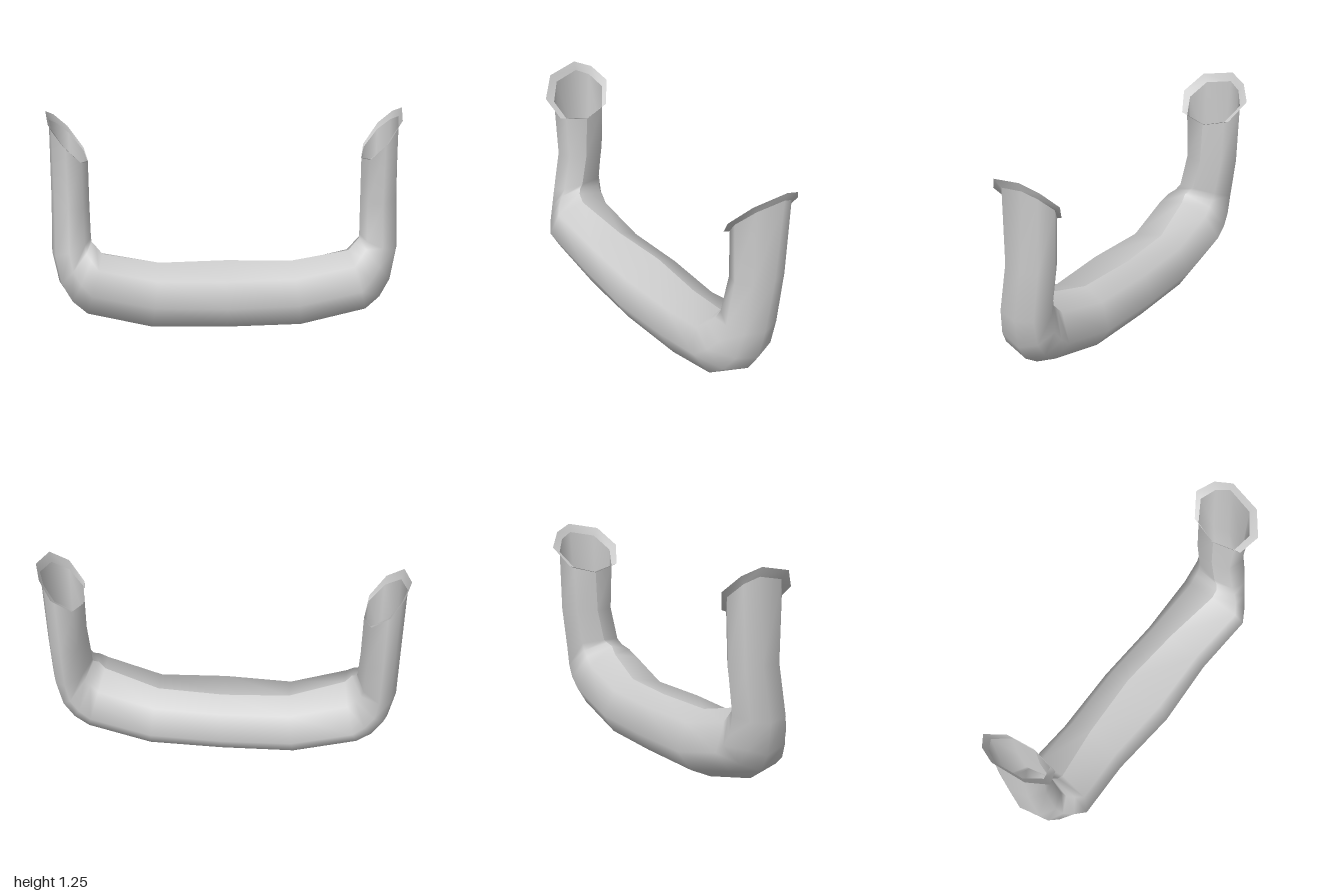
import * as THREE from 'three';

// Cross-section: [share of the way from outer to inner edge, sideways reach],
// starting and ending on the seam along the inner edge.
const SECTION = [
  [1, 0], [0.85, -0.68], [0.45, -1], [0.15, -0.62], [0, 0],
  [0.13, 0.68], [0.5, 1], [0.88, 0.8], [1, 0],
];

// Half of the bent tube, from the middle of the bar up one arm:
// outer point, inner point, front z, back z.
const HALF = [
  [0, 0, 0, 0, 0.375, -0.035, 0.26, -0.21],
  [0.43, 0, 0, 0.38, 0.375, -0.01, 0.23, -0.195],
  [0.8, 0.1, 0, 0.7, 0.455, 0.05, 0.26, -0.19],
  [0.89, 0.165, 0, 0.735, 0.5, 0.05, 0.22, -0.19],
  [0.955, 0.27, -0.01, 0.76, 0.52, 0.03, 0.18, -0.185],
  [0.99, 0.45, -0.02, 0.765, 0.54, 0.01, 0.15, -0.185],
  [0.985, 0.75, -0.07, 0.77, 0.73, -0.03, 0.105, -0.215],
  [0.983, 1.2, -0.1, 0.77, 0.97, -0.04, 0.12, -0.225],
];
const RIM = [1, 1.25, -0.1, 0.77, 0.975, -0.05, 0.17, -0.265];

const mirror = ([xo, yo, zo, xi, yi, zi, f, b]) => [-xo, yo, zo, -xi, yi, zi, f, b];

// Skin a list of rings that run from -x towards +x along the tube
function loft(name, rings, material) {
  const n = SECTION.length;
  const positions = [];
  const index = [];
  rings.forEach(([xo, yo, zo, xi, yi, zi, front, back], i) => {
    SECTION.forEach(([t, s], j) => {
      const z = THREE.MathUtils.lerp(zo, zi, t);
      positions.push(
        THREE.MathUtils.lerp(xo, xi, t),
        THREE.MathUtils.lerp(yo, yi, t),
        z + Math.abs(s) * ((s > 0 ? front : back) - z),
      );
      if (i + 1 < rings.length && j + 1 < n) {
        const a = i * n + j, c = a + n;
        index.push(a, c, a + 1, a + 1, c, c + 1);
      }
    });
  });
  const geometry = new THREE.BufferGeometry();
  geometry.setAttribute('position', new THREE.Float32BufferAttribute(positions, 3));
  geometry.setIndex(index);
  geometry.computeVertexNormals();
  const mesh = new THREE.Mesh(geometry, material);
  mesh.name = name;
  return mesh;
}

export function createModel() {
  const group = new THREE.Group();
  group.name = 'bentTube';
  const material = new THREE.MeshStandardMaterial({ color: 0xcccccc, side: THREE.DoubleSide });

  // Bar, elbows and arms in one sweep
  const rings = [...HALF.slice(1).reverse().map(mirror), ...HALF];
  group.add(loft('tube', rings, material));

  // Flared lips around the slanted open ends
  const end = HALF[HALF.length - 1];
  group.add(loft('leftRim', [end, RIM], material));
  group.add(loft('rightRim', [mirror(RIM), mirror(end)], material));
  return group;
}
